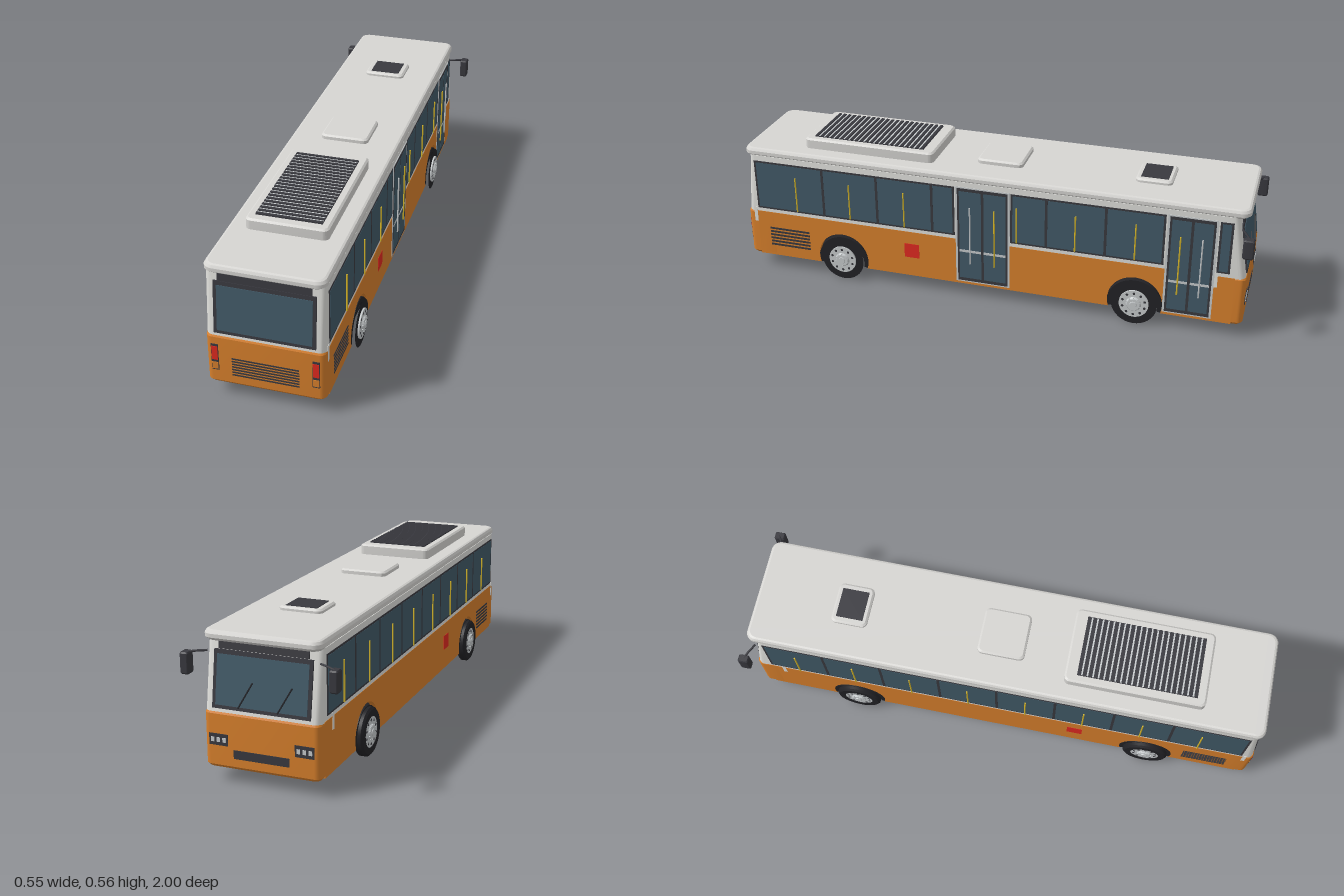
import * as THREE from 'three';
import { toCreasedNormals } from 'three/addons/utils/BufferGeometryUtils.js';

const mat = (name, color) => {
  const m = new THREE.MeshStandardMaterial({ color });
  m.name = name;
  return m;
};
const M = {
  orange: mat('orange paint', 0xd8802c),
  white: mat('white paint', 0xe0e0dc),
  roof: mat('roof grey', 0xd6d5d2),
  glass: mat('tinted glass', 0x425a68),
  trim: mat('dark trim', 0x39393f),
  black: mat('black rubber', 0x222226),
  metal: mat('metal', 0xc6cacc),
  yellow: mat('yellow rail', 0xd8b82c),
  red: mat('red lamp', 0xe02a20),
};

function add(parent, name, geo, material, x = 0, y = 0, z = 0) {
  const mesh = new THREE.Mesh(geo, material);
  mesh.name = name;
  mesh.position.set(x, y, z);
  parent.add(mesh);
  return mesh;
}
const box = (parent, name, m, w, h, d, x, y, z) =>
  add(parent, name, new THREE.BoxGeometry(w, h, d), m, x, y, z);

// Solid from stacked rounded rectangles: [y, halfWidth, zMin, zMax, cornerRadius]
function loft(sections) {
  const n = 6, pos = [];
  const rings = sections.map(([y, w, z0, z1, r]) => {
    const pts = [];
    [[1, 1], [-1, 1], [-1, -1], [1, -1]].forEach(([sx, sz], q) => {
      for (let i = 0; i <= n; i++) {
        const a = (q + i / n) * Math.PI / 2;
        pts.push([sx * (w - r) + r * Math.cos(a), y, (sz > 0 ? z1 - r : z0 + r) + r * Math.sin(a)]);
      }
    });
    return pts;
  });
  const tri = (...p) => p.forEach((v) => pos.push(...v));
  const count = rings[0].length;
  for (let k = 0; k < rings.length - 1; k++) {
    for (let i = 0; i < count; i++) {
      const j = (i + 1) % count, b = rings[k], t = rings[k + 1];
      tri(b[i], t[i], b[j]);
      tri(b[j], t[i], t[j]);
    }
  }
  const lo = rings[0], hi = rings[rings.length - 1];
  for (let i = 1; i < count - 1; i++) {
    tri(lo[0], lo[i], lo[i + 1]);
    tri(hi[0], hi[i + 1], hi[i]);
  }
  const g = new THREE.BufferGeometry();
  g.setAttribute('position', new THREE.Float32BufferAttribute(pos, 3));
  return toCreasedNormals(g, 0.3);
}

// Flat shape drawn in (z, y), thickened across x
function sideSlab(parent, name, shape, m, xOuter, depth) {
  const g = new THREE.ExtrudeGeometry(shape, { depth, bevelEnabled: false, curveSegments: 24 });
  g.rotateY(-Math.PI / 2);
  return add(parent, name, g, m, xOuter);
}

const AXLES = [-0.582, 0.587], HUB_Y = 0.088;

function buildSide(root, s) {
  const side = new THREE.Group();
  side.name = s > 0 ? 'leftSide' : 'rightSide';
  root.add(side);
  // Thin plate nearly flush with the panel; layer sets the stacking order
  const plate = (name, m, z0, z1, y0, y1, layer = 0) =>
    box(side, name, m, 0.006, y1 - y0, z1 - z0, s * (0.2046 + layer * 0.0007), (y0 + y1) / 2, (z0 + z1) / 2);
  const pole = (name, m, z, y0, y1) =>
    add(side, name, new THREE.CylinderGeometry(0.003, 0.003, y1 - y0, 8), m, s * 0.215, (y0 + y1) / 2, z);
  const outer = (d) => (s > 0 ? 0.207 : -0.207 + d);

  // Lower panel with wheel arches
  const r = 0.104, a = Math.asin((HUB_Y - 0.055) / r);
  const shape = new THREE.Shape();
  shape.moveTo(-0.94, 0.055);
  AXLES.forEach((z) => {
    shape.lineTo(z - r * Math.cos(a), 0.055);
    shape.absarc(z, HUB_Y, r, Math.PI + a, -a, true);
  });
  shape.lineTo(0.95, 0.055);
  shape.lineTo(0.95, 0.247);
  shape.lineTo(-0.94, 0.247);
  sideSlab(side, 'lowerPanel', shape, M.orange, outer(0.02), 0.02);

  // Dark arch lining
  AXLES.forEach((z) => {
    const arch = new THREE.Shape();
    arch.absarc(z, 0.073, 0.106, -0.16, Math.PI + 0.16, false);
    arch.absarc(z, 0.073, 0.086, Math.PI + 0.16, -0.16, true);
    sideSlab(side, 'archLining', arch, M.black, outer(0.02) - s * 0.001, 0.02);
  });

  // Window bands with pillars and rails
  const bands = s > 0 ? [[0.12, 0.945], [-0.68, -0.1], [-0.92, -0.872]] : [[-0.92, 0.945]];
  bands.forEach(([z0, z1]) => {
    plate('windowFrame', M.trim, z0, z1, 0.262, 0.467);
    plate('windowGlass', M.glass, z0 + 0.008, z1 - 0.008, 0.269, 0.46, 1);
    for (let k = 0; k < 16; k++) {
      const z = 0.77 - 0.112 * k;
      if (z < z0 + 0.02 || z > z1 - 0.02) continue;
      if (k % 2) plate('windowPillar', M.trim, z - 0.005, z + 0.005, 0.266, 0.463, 2);
      else pole('windowRail', M.yellow, z, 0.27, 0.415);
    }
  });

  // Double doors
  if (s > 0) {
    [[-0.098, 0.116], [-0.867, -0.686]].forEach(([z0, z1], door) => {
      const mid = (z0 + z1) / 2;
      plate('doorSurround', M.metal, z0, z1, 0.065, 0.47, 1);
      plate('doorFrame', M.trim, z0 + 0.008, z1 - 0.008, 0.07, 0.465, 2);
      [[z0 + 0.016, mid - 0.005], [mid + 0.005, z1 - 0.016]].forEach(([g0, g1], i) => {
        plate('doorGlass', M.glass, g0, g1, 0.083, 0.453, 3);
        plate('doorBar', M.metal, g0, g1, 0.196, 0.206, 4);
        pole('doorRail', i === door ? M.yellow : M.metal, (g0 + g1) / 2, 0.15, 0.39);
      });
    });
  }

  // Engine vent, filler flap, pillar feet
  for (let i = 0; i < 6; i++) plate('ventSlat', M.trim, 0.73, 0.9, 0.1 + i * 0.0145, 0.108 + i * 0.0145, 1);
  plate('fillerFlap', M.red, 0.267, 0.327, 0.136, 0.195, 1);
  [-0.872, 0.957].forEach((z) => plate('pillarFoot', M.white, z - 0.007, z + 0.007, 0.2, 0.262));

  // Mirror on a bent arm
  const arm = new THREE.CatmullRomCurve3([
    new THREE.Vector3(s * 0.2, 0.444, -0.95),
    new THREE.Vector3(s * 0.235, 0.443, -0.968),
    new THREE.Vector3(s * 0.262, 0.44, -0.982),
  ]);
  add(side, 'mirrorArm', new THREE.TubeGeometry(arm, 8, 0.004, 6), M.trim);
  add(side, 'mirror', loft([[0.368, 0.012, -0.996, -0.964, 0.005], [0.373, 0.015, -1, -0.96, 0.006],
    [0.438, 0.015, -1, -0.96, 0.006], [0.443, 0.012, -0.996, -0.964, 0.005]]), M.trim, s * 0.262);

  AXLES.forEach((z) => buildWheel(side, s, z));
}

// Wheel modelled around y, with its outer face up, then turned outward
function buildWheel(parent, s, z) {
  const wheel = new THREE.Group();
  wheel.name = 'wheel';
  wheel.position.set(s * 0.215, HUB_Y, z);
  wheel.rotation.z = -s * Math.PI / 2;
  parent.add(wheel);
  if (s < 0) {
    const profile = [[0.056, -0.025], [0.08, -0.025], [0.0875, -0.018], [0.0875, 0.003], [0.08, 0.01],
      [0.056, 0.01], [0.056, -0.025]].map(([x, y]) => new THREE.Vector2(x, y));
    add(wheel, 'tyre', toCreasedNormals(new THREE.LatheGeometry(profile, 36), 0.5), M.black);
  } else {
    // Door side shows only the tyre's outer wall
    add(wheel, 'tyreWall', new THREE.RingGeometry(0.054, 0.0875, 36).rotateX(-Math.PI / 2), M.black, 0, 0.002);
  }
  add(wheel, 'rim', new THREE.CylinderGeometry(0.056, 0.056, 0.008, 32), M.metal, 0, 0.004);
  add(wheel, 'hub', new THREE.CylinderGeometry(0.024, 0.03, 0.008, 24), M.metal, 0, 0.011);
  add(wheel, 'hubCap', new THREE.CylinderGeometry(0.012, 0.014, 0.004, 16), M.metal, 0, 0.016);
  for (let i = 0; i < 10; i++) {
    const a = i / 10 * Math.PI * 2, c = Math.cos(a), d = Math.sin(a);
    add(wheel, 'rimHole', new THREE.CylinderGeometry(0.005, 0.005, 0.002, 10), M.trim, 0.044 * c, 0.008, 0.044 * d);
    add(wheel, 'wheelNut', new THREE.CylinderGeometry(0.0025, 0.0025, 0.004, 6), M.metal, 0.027 * c, 0.013, 0.027 * d);
  }
}

// An end face: lower details upright, screen leaning with the body
function buildEnd(root, name, z, tilt, turn) {
  const end = new THREE.Group();
  end.name = name;
  end.rotation.y = turn;
  root.add(end);
  const screen = new THREE.Group();
  screen.name = name + 'Screen';
  screen.position.set(0, 0.245, z);
  screen.rotation.x = -tilt;
  end.add(screen);
  const pane = (n, m, w, y0, y1, lift) =>
    box(screen, n, m, w * 2, y1 - y0, 0.006, 0, (y0 + y1) / 2 - 0.245, lift);
  pane('screenFrame', M.trim, 0.175, 0.26, 0.455, 0);
  pane('screenGlass', M.glass, 0.163, 0.272, 0.44, 0.002);
  pane('signPanel', M.trim, 0.16, 0.457, 0.485, 0.001);
  const plate = (n, m, x, y, w, h, lift = 0) => box(end, n, m, w, h, 0.006, x, y, z + lift);
  return { screen, plate };
}

export function createModel() {
  const root = new THREE.Group();
  root.name = 'cityBus';

  // Body shell
  [['rearEnd', 0.86, 0.992], ['frontEnd', -0.981, -0.88]].forEach(([name, z0, z1]) => {
    add(root, name, loft([[0.054, 0.199, z0 + 0.008, z1 - 0.008, 0.02], [0.064, 0.207, z0, z1, 0.022],
      [0.241, 0.207, z0, z1, 0.022], [0.247, 0.204, z0 + 0.003, z1 - 0.003, 0.021]]), M.orange);
  });
  add(root, 'upperBody', loft([[0.245, 0.206, -0.977, 0.988, 0.024], [0.49, 0.206, -0.937, 0.965, 0.024]]), M.white);
  add(root, 'roof', loft([[0.484, 0.198, -0.962, 0.972, 0.03], [0.495, 0.208, -0.975, 0.985, 0.035],
    [0.508, 0.208, -0.975, 0.985, 0.035], [0.517, 0.203, -0.97, 0.98, 0.033],
    [0.52, 0.196, -0.963, 0.973, 0.03]]), M.roof);
  box(root, 'floor', M.black, 0.376, 0.01, 1.8, 0, 0.1, 0.01);
  [1, -1].forEach((s) => buildSide(root, s));

  // Rear face
  const rear = buildEnd(root, 'rear', 0.99, 0.094, 0);
  for (let i = 0; i < 7; i++) rear.plate('rearSlat', M.trim, 0, 0.098 + i * 0.011, 0.234, 0.005, 0.001);
  [1, -1].forEach((s) => {
    rear.plate('lampHousing', M.trim, s * 0.1755, 0.161, 0.025, 0.105, 0.001);
    rear.plate('tailLamp', M.red, s * 0.1755, 0.178, 0.021, 0.054, 0.003);
    rear.plate('indicator', M.orange, s * 0.1755, 0.127, 0.021, 0.027, 0.003);
  });

  // Front face
  const front = buildEnd(root, 'front', 0.979, 0.154, Math.PI);
  front.plate('bumperSlot', M.trim, 0, 0.108, 0.2, 0.03, 0.001);
  [1, -1].forEach((s) => {
    front.plate('headlampHousing', M.trim, s * 0.154, 0.153, 0.068, 0.04, 0.001);
    [0.133, 0.154, 0.175].forEach((x) => front.plate('headlamp', M.metal, s * x, 0.153, 0.012, 0.016, 0.003));
    const wiper = box(front.screen, 'wiper', M.black, 0.004, 0.1, 0.004, s * 0.07 + 0.015, 0.068, 0.008);
    wiper.rotation.z = -0.5;
  });

  // Roof equipment
  const pod = (name, w, z0, z1, y) => add(root, name, loft([[0.518, w, z0, z1, 0.02], [y - 0.006, w, z0, z1, 0.02],
    [y, w - 0.007, z0 + 0.007, z1 - 0.007, 0.016]]), M.roof);
  pod('airConditioner', 0.145, 0.225, 0.75, 0.56);
  pod('roofHatch', 0.091, -0.112, 0.066, 0.538);
  pod('roofVent', 0.08, -0.675, -0.538, 0.534);
  box(root, 'ventMesh', M.trim, 0.116, 0.004, 0.102, 0, 0.534, -0.607);
  box(root, 'coolerMesh', M.trim, 0.234, 0.004, 0.446, 0, 0.56, 0.493);
  for (let i = 0; i < 22; i++) {
    box(root, 'coolerSlat', M.trim, 0.234, 0.004, 0.011, 0, 0.563, 0.277 + i * 0.0206);
    if (i < 21) box(root, 'coolerGap', M.metal, 0.23, 0.002, 0.006, 0, 0.562, 0.2873 + i * 0.0206);
  }
  return root;
}
